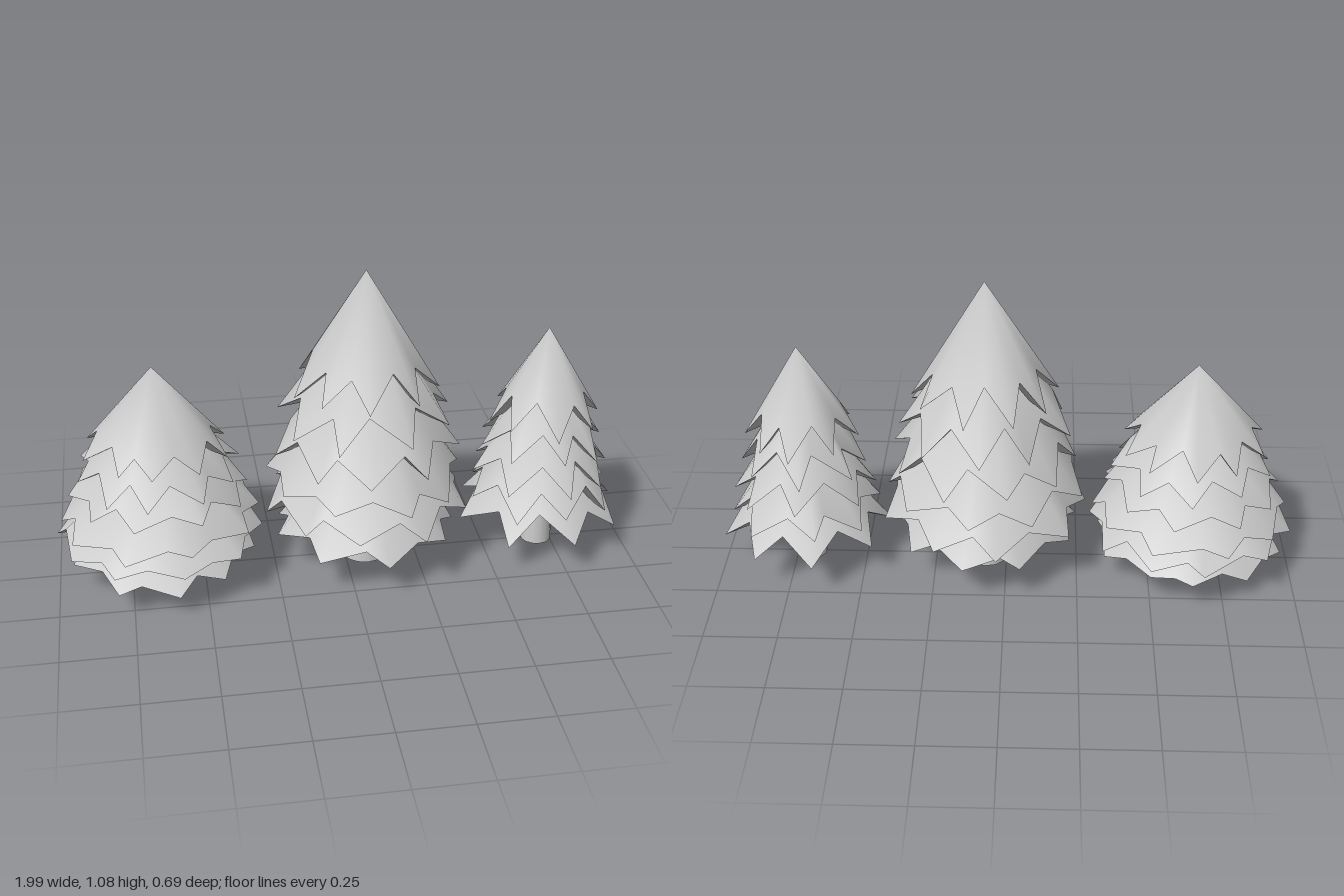
import * as THREE from 'three';

const material = new THREE.MeshStandardMaterial({ color: 0xcccccc });

// Small seeded generator, returns values from -1 to 1
function seeded(seed) {
  let s = seed;
  return () => {
    s = (s * 16807) % 2147483647;
    return (s / 2147483647) * 2 - 1;
  };
}

// One tier of branches: a pleated cone whose rim zigzags between tips and notches, closed below
function branchTier({ tipY, radius, slope, notch, points, turn, rand }) {
  const n = points * 2;
  const apexY = tipY + radius * slope;
  // Notches sit a little below the cone, which creases the pleats
  const notchY = tipY + radius * (1 - notch) * slope * 0.9;
  const rim = [];
  for (let i = 0; i < n; i++) {
    const isTip = i % 2 === 0;
    const a = turn + ((i + rand() * 0.3) / n) * Math.PI * 2;
    const r = radius * (isTip ? 1 + rand() * 0.035 : notch + rand() * 0.03);
    const y = (isTip ? tipY : notchY) + rand() * 0.015;
    rim.push([Math.sin(a) * r, y, Math.cos(a) * r]);
  }

  // Upper surface and underside keep separate vertices for a crisp rim
  const position = [rim, rim, [[0, apexY, 0], [0, notchY, 0]]].flat(2);
  const index = [];
  for (let i = 0; i < n; i++) {
    const j = (i + 1) % n;
    index.push(2 * n, i, j);
    index.push(2 * n + 1, n + j, n + i);
  }
  const geometry = new THREE.BufferGeometry();
  geometry.setAttribute('position', new THREE.Float32BufferAttribute(position, 3));
  geometry.setIndex(index);
  geometry.computeVertexNormals();
  return geometry;
}

function makeTree({ name, x, trunk, slopes, tiers, notches, points, seed }) {
  const tree = new THREE.Group();
  tree.name = name;
  tree.position.x = x;
  const rand = seeded(seed);

  // Tapered trunk reaching up inside the branches
  const [bottom, top, height] = trunk;
  const trunkMesh = new THREE.Mesh(new THREE.CylinderGeometry(top, bottom, height, 14), material);
  trunkMesh.name = 'trunk';
  trunkMesh.position.y = height / 2;
  tree.add(trunkMesh);

  // Branch tiers from the top down, each turned, growing flatter and less notched towards the base
  tiers.forEach(([tipY, radius], i) => {
    const t = Math.min(1, i / 3);
    const slope = THREE.MathUtils.lerp(slopes[0], slopes[1], t);
    const notch = THREE.MathUtils.lerp(notches[0], notches[1], t);
    const turn = i * 2.4;
    const geometry = branchTier({ tipY, radius, slope, notch, points, turn, rand });
    const tier = new THREE.Mesh(geometry, material);
    tier.name = 'branchTier' + (i + 1);
    tree.add(tier);
  });
  return tree;
}

export function createModel() {
  const group = new THREE.Group();
  group.name = 'pineTrees';
  group.add(
    makeTree({
      name: 'wideTree', x: -0.642, trunk: [0.08, 0.055, 0.2], slopes: [1.19, 0.98], points: 10, seed: 4211,
      notches: [0.75, 0.89],
      tiers: [[0.485, 0.25], [0.4, 0.28], [0.32, 0.31], [0.235, 0.343], [0.16, 0.352], [0.095, 0.325]],
    }),
    makeTree({
      name: 'tallTree', x: 0.072, trunk: [0.08, 0.058, 0.24], slopes: [1.68, 1.32], points: 9, seed: 917,
      notches: [0.71, 0.88],
      tiers: [[0.66, 0.25], [0.545, 0.295], [0.43, 0.32], [0.33, 0.345], [0.23, 0.35], [0.13, 0.315]],
    }),
    makeTree({
      name: 'slimTree', x: 0.703, trunk: [0.055, 0.045, 0.22], slopes: [1.7, 1.32], points: 8, seed: 60013,
      notches: [0.69, 0.76],
      tiers: [[0.5, 0.195], [0.4, 0.22], [0.3, 0.245], [0.21, 0.265], [0.125, 0.29]],
    }),
  );
  return group;
}
